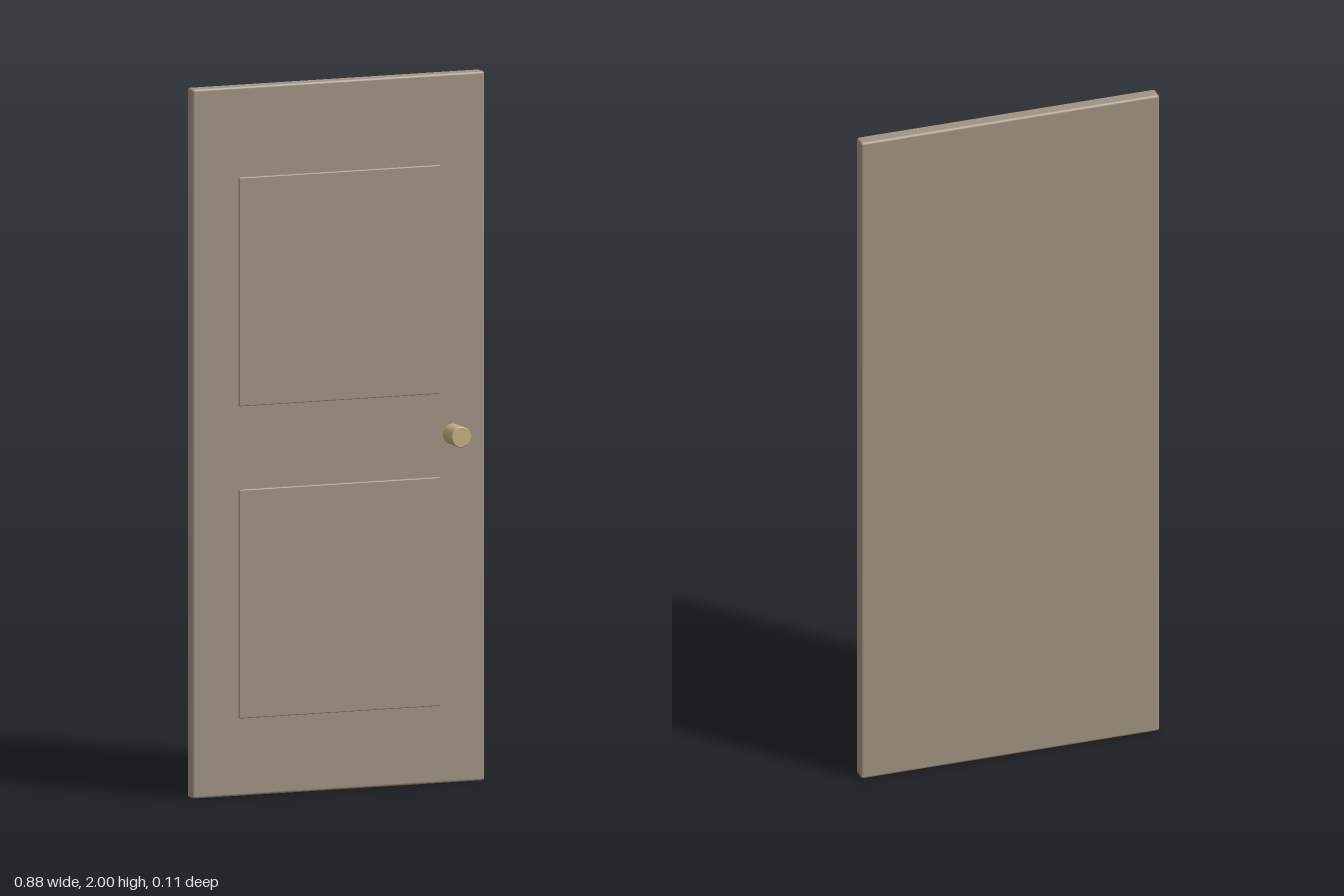
import * as THREE from 'three';
import { RoundedBoxGeometry } from 'three/addons/geometries/RoundedBoxGeometry.js';

export function createModel() {
  const group = new THREE.Group();
  const wood = new THREE.MeshStandardMaterial({ color: 0xa29383 });
  const brass = new THREE.MeshStandardMaterial({ color: 0xc4b283 });

  const add = (name, geometry, material, x, y, z) => {
    const mesh = new THREE.Mesh(geometry, material);
    mesh.name = name;
    mesh.position.set(x, y, z);
    group.add(mesh);
    return mesh;
  };

  // Door leaf with softened edges
  add('doorLeaf', new RoundedBoxGeometry(0.88, 2, 0.042, 2, 0.007), wood, 0, 1, -0.034);

  // Two raised panels, set slightly into the leaf
  const panel = new RoundedBoxGeometry(0.606, 0.645, 0.018, 2, 0.003);
  add('lowerPanel', panel, wood, 0, 0.542, -0.014);
  add('upperPanel', panel, wood, 0, 1.422, -0.014);

  // Round knob, its axis pointing forward, with a small rim bevel
  const r = 0.029;
  const profile = [[0, 0], [r, 0], [r, 0], [r, 0.068], [r, 0.068], [r - 0.002, 0.07], [r - 0.002, 0.07], [0, 0.07]]
    .map(([x, y]) => new THREE.Vector2(x, y));
  const knob = add('knob', new THREE.LatheGeometry(profile, 24), brass, 0.342, 0.983, -0.016);
  knob.rotation.x = Math.PI / 2;

  return group;
}
